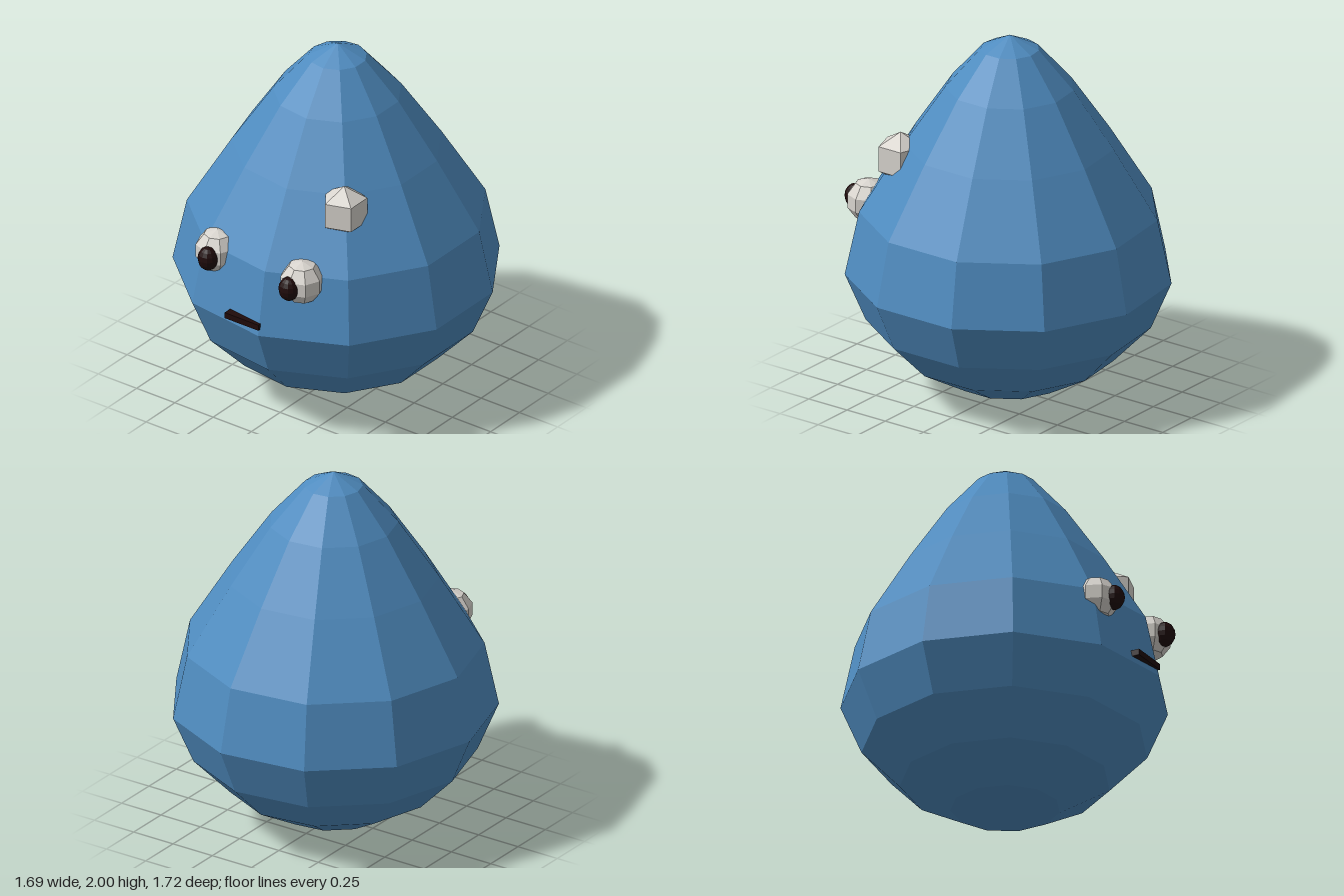
import * as THREE from 'three';

export function createModel() {
  const group = new THREE.Group();
  const material = (name, color) => {
    const m = new THREE.MeshStandardMaterial({ color, flatShading: true });
    m.name = name;
    return m;
  };
  const blue = material('blue', 0x4f8cc0);
  const offWhite = material('off white', 0xd8d4ce);
  const dark = material('dark brown', 0x1f0a0a);

  const add = (name, geometry, mat, x, y, z) => {
    const mesh = new THREE.Mesh(geometry, mat);
    mesh.name = name;
    mesh.position.set(x, y, z);
    group.add(mesh);
    return mesh;
  };

  // Drop-shaped body: eleven sides, one corner pointing to -x
  const profile = [
    [0, 0], [0.29, 0.055], [0.555, 0.205], [0.755, 0.41], [0.865, 0.67],
    [0.79, 1.02], [0.555, 1.4], [0.34, 1.715], [0.155, 1.925], [0, 2],
  ].map(([r, y]) => new THREE.Vector2(r, y));
  add('body', new THREE.LatheGeometry(profile, 11, -Math.PI / 2), blue, 0, 0, 0);

  // Eyeballs half sunk into the body, each with a flattened pupil
  for (const [side, x, pupilX] of [['right', -0.26, -0.245], ['left', 0.295, 0.283]]) {
    add(side + 'Eye', new THREE.SphereGeometry(0.12, 8, 5), offWhite, x, 0.99, 0.7);
    const pupil = add(side + 'Pupil', new THREE.SphereGeometry(1, 12, 8), dark, pupilX, 0.985, 0.8);
    pupil.scale.set(0.056, 0.067, 0.055);
  }

  // Faceted highlight on the upper left of the face
  add('highlight', new THREE.SphereGeometry(0.14, 5, 3), offWhite, 0.37, 1.325, 0.435);

  // Straight mouth
  add('mouth', new THREE.BoxGeometry(0.22, 0.033, 0.1), dark, 0.018, 0.721, 0.81);

  return group;
}
